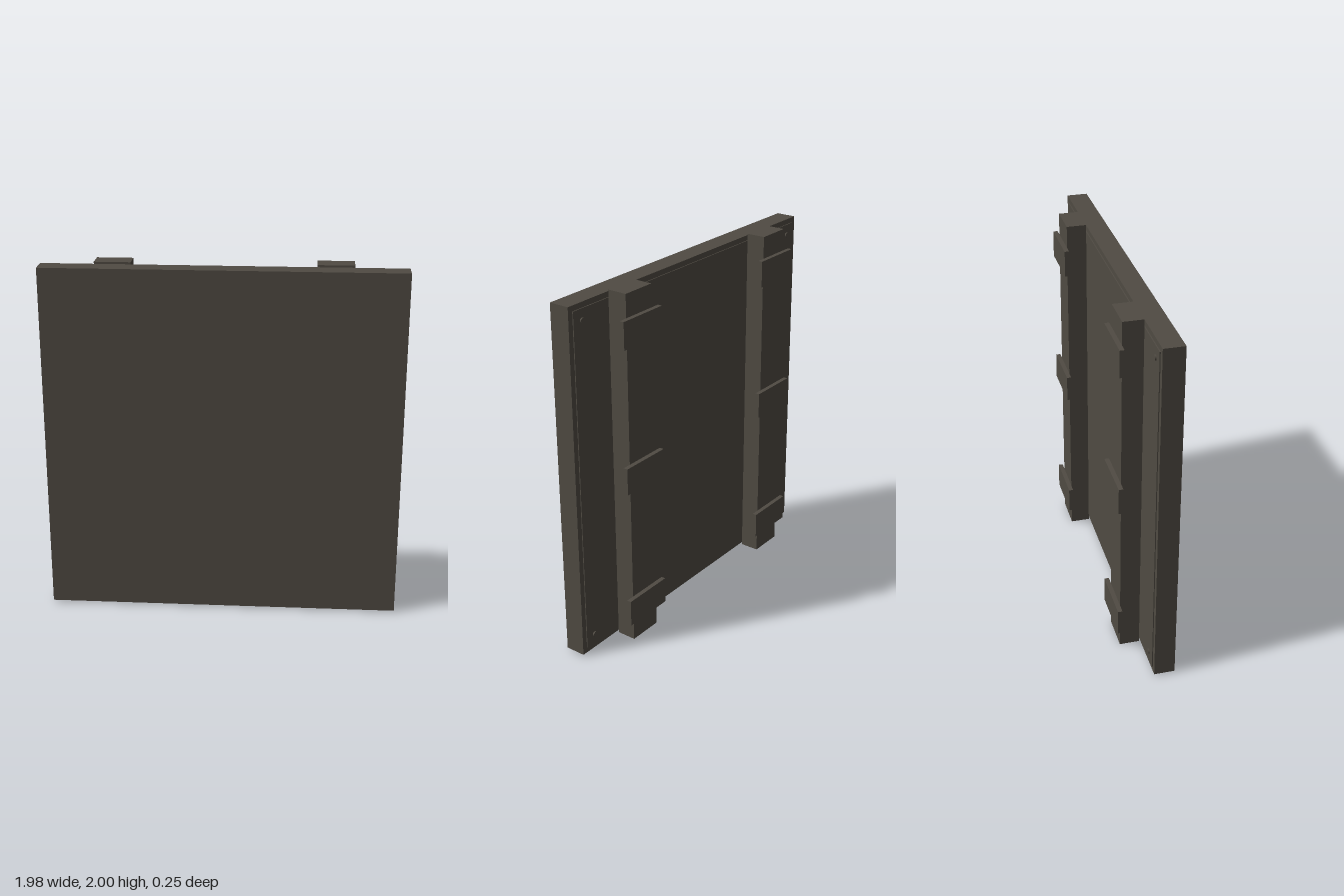
import * as THREE from 'three';

export function createModel() {
  const group = new THREE.Group();
  const darkBoard = new THREE.MeshStandardMaterial({ color: 0x504b43 });
  darkBoard.name = 'dark board';

  // Adds a box given its centre x and y, size, and z extent
  const addBox = (name, x, y, w, h, z0, z1) => {
    const mesh = new THREE.Mesh(new THREE.BoxGeometry(w, h, z1 - z0), darkBoard);
    mesh.position.set(x, y, (z0 + z1) / 2);
    mesh.name = name;
    group.add(mesh);
  };

  // Main panel and the thin backing sheet behind it
  addBox('panel', 0, 1, 1.98, 1.98, 0.013, 0.127);
  addBox('backingSheet', 0, 1, 1.92, 1.92, 0.008, 0.013);

  const screwGeometry = new THREE.CylinderGeometry(0.014, 0.014, 0.008, 16);
  screwGeometry.rotateX(Math.PI / 2);

  for (const side of [-1, 1]) {
    // Upright batten with three mounting cleats
    addBox('batten', side * 0.6, 1, 0.2, 2, -0.102, 0.008);
    for (const y of [0.2, 1, 1.8]) {
      addBox('cleat', side * 0.6, y, 0.3, 0.15, -0.127, -0.102);
    }
    // Corner screws
    for (const y of [0.1, 1.9]) {
      const screw = new THREE.Mesh(screwGeometry, darkBoard);
      screw.position.set(side * 0.9, y, 0.004);
      screw.name = 'screw';
      group.add(screw);
    }
  }
  return group;
}
